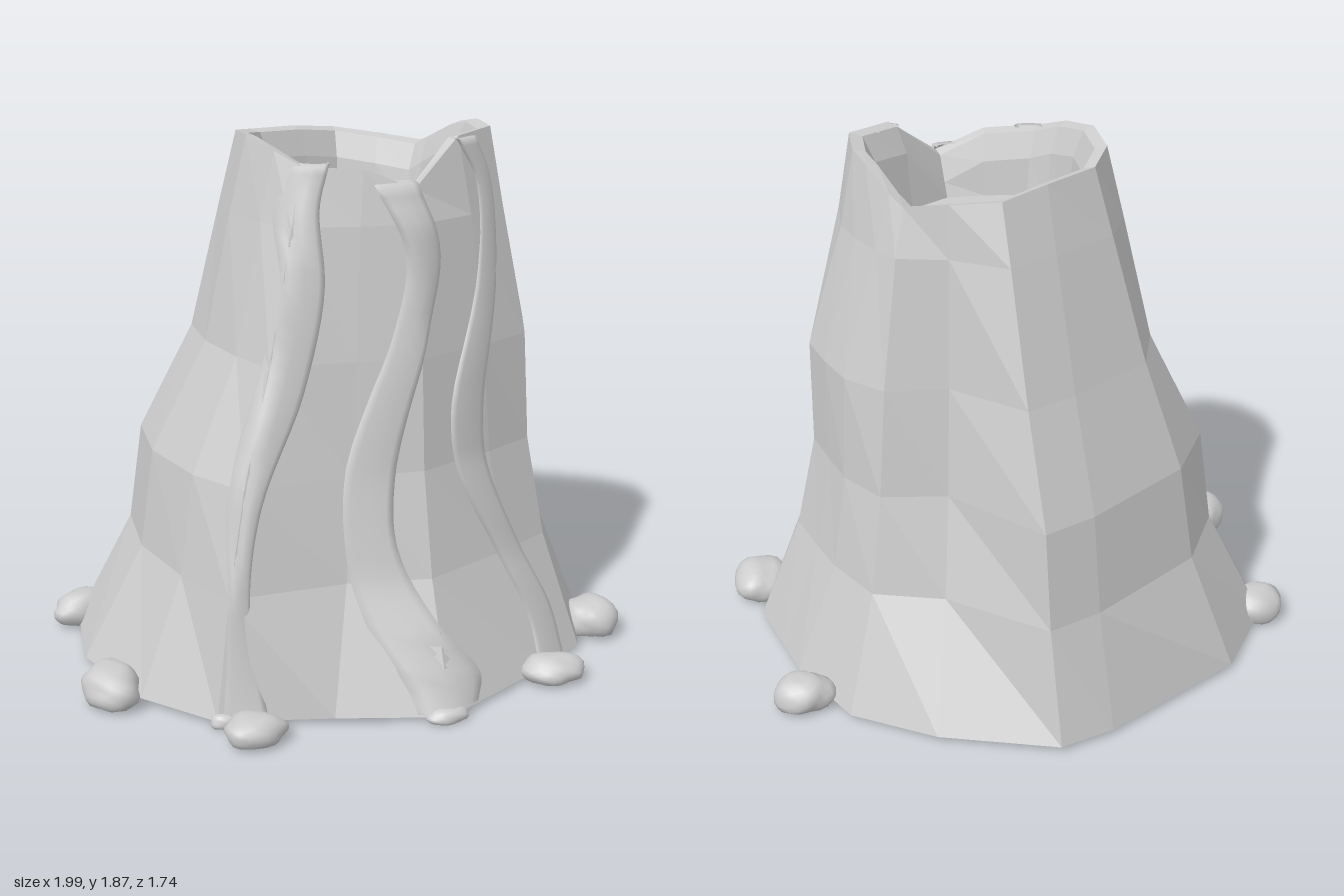
import * as THREE from 'three';
import { mergeVertices } from 'three/addons/utils/BufferGeometryUtils.js';

const LEVELS = [0.02, 0.43, 0.78, 1.16, 1.6];
const CENTRE = [0.1, 0.02];

// Ridge lines from the back, round by +x: base x, z, rim x, z, rim height, then inward pull at each level
const RIDGES = [
  [0.13, -0.87, 0.16, -0.35, 1.80, 0.20, 0.29, 0.58, 0.86],
  [0.51, -0.68, 0.31, -0.27, 1.78, 0.50, 0.72, 0.84, 0.95], // gully
  [0.76, -0.47, 0.44, -0.19, 1.76, 0.38, 0.55, 0.66, 0.88],
  [0.87, -0.16, 0.47, -0.14, 1.79, 0.38, 0.51, 0.55, 0.87],
  [0.89, 0.00, 0.51, -0.01, 1.85, 0.38, 0.54, 0.55, 0.87],
  [0.92, 0.23, 0.53, 0.08, 1.87, 0.38, 0.56, 0.57, 0.88],
  [0.77, 0.52, 0.50, 0.24, 1.87, 0.38, 0.56, 0.62, 0.86],
  [0.57, 0.64, 0.34, 0.33, 1.86, 0.42, 0.62, 0.70, 0.86],
  [0.11, 0.85, 0.15, 0.41, 1.71, 0.47, 0.69, 0.77, 0.90],
  [-0.25, 0.72, -0.02, 0.38, 1.78, 0.42, 0.62, 0.76, 0.90],
  [-0.62, 0.60, -0.21, 0.32, 1.79, 0.15, 0.33, 0.62, 0.88],
  [-0.81, 0.35, -0.27, 0.22, 1.83, 0.30, 0.40, 0.72, 0.90],
  [-0.91, -0.02, -0.31, 0.06, 1.86, 0.35, 0.43, 0.75, 0.90],
  [-0.85, -0.38, -0.29, -0.11, 1.85, 0.34, 0.42, 0.73, 0.90],
  [-0.61, -0.64, -0.20, -0.23, 1.83, 0.30, 0.40, 0.65, 0.88],
  [-0.07, -0.84, -0.01, -0.30, 1.82, 0.22, 0.32, 0.60, 0.87],
];

const lerp = THREE.MathUtils.lerp;

// Each ridge as points from the ground to the rim
const ridgeLines = RIDGES.map(([bx, bz, rx, rz, top, ...pull]) => {
  const line = LEVELS.map((y, k) => {
    const t = k ? pull[k - 1] : 0;
    return [lerp(bx, rx, t), y, lerp(bz, rz, t)];
  });
  return [...line, [rx, top, rz]];
});

// Skin a list of rings of equal length; rings run clockwise seen from above
function loft(rings, closed) {
  const pos = [];
  for (let j = 0; j < rings.length - 1; j++) {
    const n = rings[j].length;
    for (let i = 0; i < (closed ? n : n - 1); i++) {
      const k = (i + 1) % n;
      const a = rings[j][i], b = rings[j][k], c = rings[j + 1][k], d = rings[j + 1][i];
      pos.push(...a, ...d, ...c, ...a, ...c, ...b);
    }
  }
  const geo = new THREE.BufferGeometry();
  geo.setAttribute('position', new THREE.Float32BufferAttribute(pos, 3));
  return geo;
}

// Cone, crater rim, inner wall and underside in one shell; unshared corners keep it faceted
function mountainGeometry() {
  const point = (y) => ridgeLines.map(() => [CENTRE[0], y, CENTRE[1]]);
  const inner = (s, height) => ridgeLines.map((l) => {
    const [x, y, z] = l[5];
    return [lerp(CENTRE[0], x, s), height(y), lerp(CENTRE[1], z, s)];
  });
  const rings = [point(0.02)];
  for (let k = 0; k < 6; k++) rings.push(ridgeLines.map((l) => l[k]));
  rings.push(inner(0.9, (y) => y - 0.01), inner(0.81, (y) => y - 0.1));
  rings.push(inner(0.76, () => 1.56), point(1.56));
  const geo = loft(rings, true);
  geo.computeVertexNormals();
  return geo;
}

// Position of a ridge at height y
function ridgeAt(line, y) {
  for (let k = 0; k < line.length - 1; k++) {
    const a = line[k], b = line[k + 1];
    if (y <= b[1] || k === line.length - 2) {
      const t = THREE.MathUtils.clamp((y - a[1]) / (b[1] - a[1]), 0, 1);
      return [lerp(a[0], b[0], t), lerp(a[2], b[2], t)];
    }
  }
}

// Depth of the front slope at x, y
function slopeZ(x, y) {
  const pts = ridgeLines.slice(5, 13).map((l) => ridgeAt(l, y));
  for (let i = 0; i < pts.length - 1; i++) {
    const [x0, z0] = pts[i], [x1, z1] = pts[i + 1];
    if (x <= x0 && x >= x1) return lerp(z0, z1, (x0 - x) / (x0 - x1));
  }
  return x > 0 ? pts[0][1] : pts[pts.length - 1][1];
}

// A low flow hugging the slope; rows give y, left edge x and right edge x
function flowGeometry(rows) {
  const curve = new THREE.CatmullRomCurve3(rows.map(([y, l, r]) => new THREE.Vector3(l, y, r)));
  const across = [[1, -0.02], [1, 0.006], [0.85, 0.011], [0.5, 0.014], [0.15, 0.011], [0, 0.006], [0, -0.02]];
  const rings = curve.getPoints(40).map((p) =>
    across.map(([s, lift]) => {
      const x = lerp(p.x, p.z, s);
      return [x, p.y, slopeZ(x, p.y) + lift];
    }));
  // Fold the upper end over the rim
  const last = rings[rings.length - 1];
  rings.push(last.map(([x, y, z]) => [lerp(CENTRE[0], x, 0.92), y + 0.005, lerp(CENTRE[1], z, 0.9)]));
  const geo = mergeVertices(loft(rings, false), 1e-4);
  geo.computeVertexNormals();
  return geo;
}

// Lumpy pebble with a flattened underside
function rockGeometry(seed) {
  const geo = new THREE.IcosahedronGeometry(1, 3);
  geo.deleteAttribute('uv');
  geo.deleteAttribute('normal');
  const smooth = mergeVertices(geo, 1e-4);
  const p = smooth.attributes.position;
  const v = new THREE.Vector3();
  for (let i = 0; i < p.count; i++) {
    v.fromBufferAttribute(p, i);
    v.multiplyScalar(1 + 0.08 * Math.sin(2.6 * v.x + seed) + 0.07 * Math.sin(3.1 * v.z + seed * 2.3)
      + 0.05 * Math.sin(5 * v.x + 4 * v.y - 3 * v.z + seed * 1.7));
    p.setXYZ(i, v.x, THREE.MathUtils.clamp(v.y, -0.55, 0.95), v.z);
  }
  smooth.computeVertexNormals();
  return smooth;
}

export function createModel() {
  const model = new THREE.Group();
  model.name = 'volcano';
  const stone = new THREE.MeshStandardMaterial({ color: 0xcccccc, side: THREE.DoubleSide });
  stone.name = 'pale grey stone';

  const add = (name, geo) => {
    const mesh = new THREE.Mesh(geo, stone);
    mesh.name = name;
    model.add(mesh);
    return mesh;
  };

  add('mountain', mountainGeometry());

  // Pool in the crater
  const pool = add('lavaPool', new THREE.CylinderGeometry(0.208, 0.21, 0.016, 32));
  pool.position.set(0.09, 1.566, 0.05);

  // Winding flows down the front
  const flows = [
    [[0.03, -0.6, -0.46], [0.2, -0.58, -0.48], [0.43, -0.56, -0.49], [0.72, -0.53, -0.43],
      [1.07, -0.41, -0.26], [1.4, -0.31, -0.17], [1.65, -0.29, -0.17], [1.79, -0.23, -0.13]],
    [[0.03, 0.01, 0.24], [0.1, -0.01, 0.27], [0.3, -0.11, 0.12], [0.55, -0.15, 0.02],
      [0.8, -0.13, 0.04], [1.25, 0.05, 0.17], [1.5, 0.1, 0.23], [1.73, 0.01, 0.16]],
    [[0.03, 0.55, 0.68], [0.2, 0.53, 0.65], [0.43, 0.43, 0.54], [0.75, 0.28, 0.41],
      [0.97, 0.26, 0.4], [1.4, 0.39, 0.48], [1.7, 0.41, 0.48], [1.85, 0.33, 0.42]],
  ];
  flows.forEach((rows, i) => add('lavaFlow' + (i + 1), flowGeometry(rows)));

  // Hardened drips where the flows meet the ground: x, z, width
  [[0.11, 0.82, 0.08], [-0.58, 0.6, 0.06]].forEach(([x, z, w], i) => {
    const drip = add('drip' + (i + 1), rockGeometry(i + 8));
    drip.scale.set(w, 0.03, w * 0.6);
    drip.position.set(x, 0.018, z);
  });

  // Rocks round the foot: x, z, half width, half depth, height, turn
  const rocks = [
    [-0.85, -0.37, 0.11, 0.085, 0.11, 0.4],
    [-0.9, 0.31, 0.1, 0.115, 0.12, 0.2],
    [-0.53, 0.73, 0.11, 0.085, 0.085, 0.1],
    [0.575, 0.71, 0.105, 0.085, 0.085, -0.2],
    [0.885, 0.39, 0.1, 0.115, 0.125, -0.4],
    [0.885, -0.33, 0.105, 0.09, 0.105, -0.2],
  ];
  rocks.forEach(([x, z, w, d, h, turn], i) => {
    const rock = add('rock' + (i + 1), rockGeometry(i * 1.3));
    rock.scale.set(w, h / 1.5, d);
    rock.rotation.y = turn;
    rock.position.set(x, 0.012 + (h / 1.5) * 0.55, z);
  });

  return model;
}
